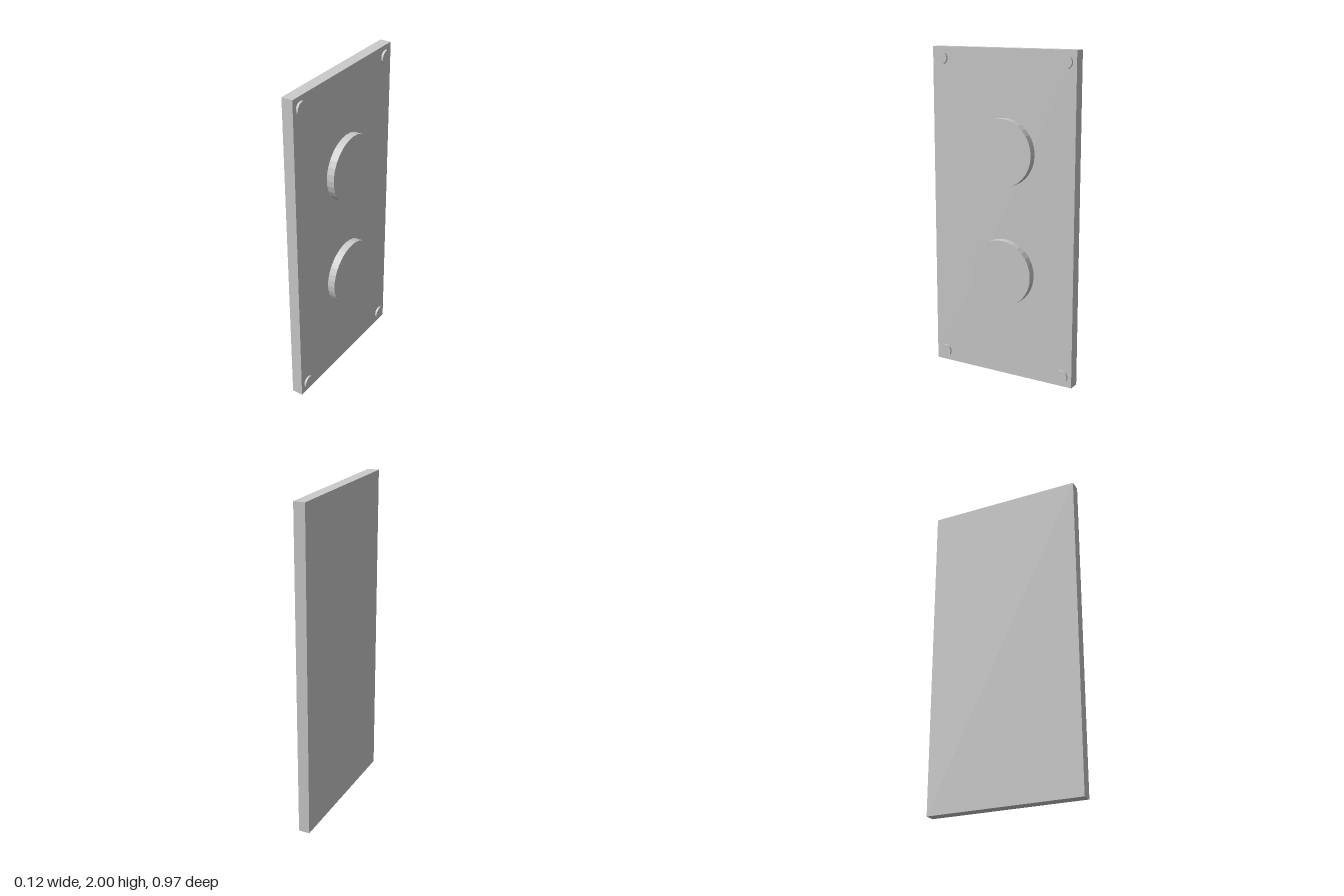
import * as THREE from 'three';

const PLATE_BACK = -0.058, PLATE_FACE = 0.011;

export function createModel() {
  const group = new THREE.Group();
  const material = new THREE.MeshStandardMaterial({ color: 0xcccccc, flatShading: true });

  // Upright rectangular plate
  const thickness = PLATE_FACE - PLATE_BACK;
  const plate = new THREE.Mesh(new THREE.BoxGeometry(thickness, 2, 0.97), material);
  plate.name = 'plate';
  plate.position.set((PLATE_BACK + PLATE_FACE) / 2, 1, 0);
  group.add(plate);

  // Disc standing out of the plate's +x face
  function addDisc(name, radius, height, y, z) {
    const geometry = new THREE.CylinderGeometry(radius, radius, height, 32);
    geometry.rotateZ(-Math.PI / 2);
    const disc = new THREE.Mesh(geometry, material);
    disc.name = name;
    disc.position.set(PLATE_FACE + height / 2, y, z);
    group.add(disc);
  }

  // Two large round knobs
  addDisc('upperKnob', 0.204, 0.047, 1.393, -0.018);
  addDisc('lowerKnob', 0.204, 0.047, 0.66, -0.018);

  // Screw heads in the four corners
  for (const y of [0.063, 1.932]) {
    for (const z of [-0.421, 0.419]) addDisc('cornerScrew', 0.039, 0.013, y, z);
  }

  return group;
}
